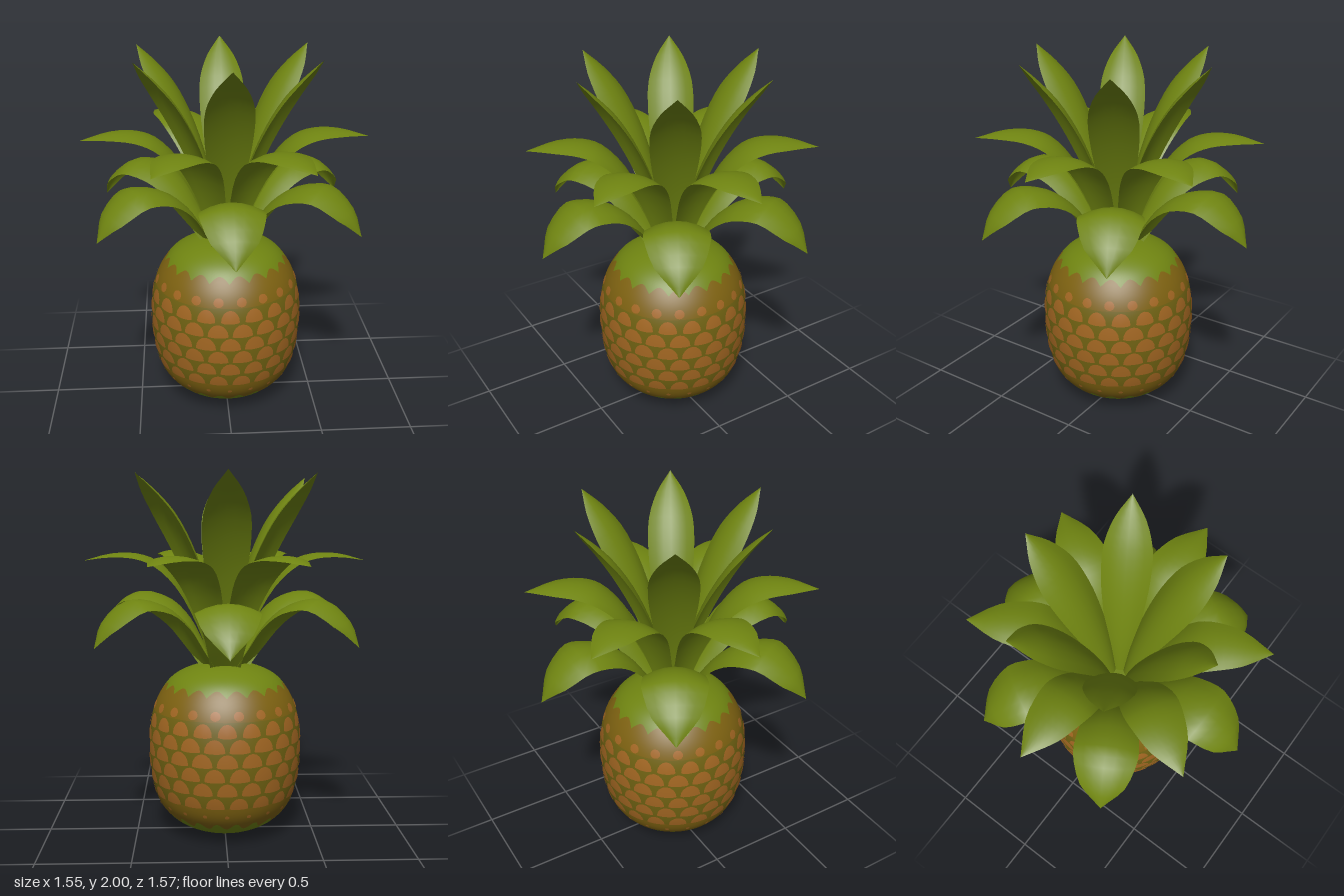
import * as THREE from 'three';
import { mergeGeometries } from 'three/addons/utils/BufferGeometryUtils.js';

const flat = (name, color, side = THREE.FrontSide) => {
  const m = new THREE.MeshStandardMaterial({ color, side });
  m.name = name;
  return m;
};

// Fruit outline from bottom to top: radius, height
const outline = new THREE.SplineCurve([
  [0, 0.005], [0.14, 0.024], [0.27, 0.08], [0.36, 0.17], [0.402, 0.28], [0.42, 0.4], [0.425, 0.5],
  [0.42, 0.61], [0.4, 0.72], [0.355, 0.82], [0.28, 0.905], [0.15, 0.96], [0, 0.972],
].map(([r, y]) => new THREE.Vector2(r, y))).getPoints(144);
const last = outline.length - 1;

// Point on the outline at a fractional index, and the index at a height
function outlineAt(t) {
  const i = Math.min(Math.max(Math.floor(t), 0), last - 1);
  return outline[i].clone().lerp(outline[i + 1], t - i);
}
function indexAt(y) {
  const i = Math.max(outline.findIndex((p) => p.y >= y), 1);
  return i - 1 + (y - outline[i - 1].y) / (outline[i].y - outline[i - 1].y);
}

// Wraps a flat geometry round the fruit; rule(x, y) gives [angle, outline index]
function wrap(geometry, rule, lift = 0) {
  const pos = geometry.attributes.position, nor = geometry.attributes.normal;
  for (let i = 0; i < pos.count; i++) {
    const [a, t] = rule(pos.getX(i), pos.getY(i));
    const p = outlineAt(t);
    const d = outlineAt(Math.min(t + 4, last)).sub(outlineAt(Math.max(t - 4, 0))).normalize();
    const r = p.x + d.y * lift, y = p.y - d.x * lift;
    pos.setXYZ(i, r * Math.sin(a), y, r * Math.cos(a));
    nor.setXYZ(i, d.y * Math.sin(a), -d.x, d.y * Math.cos(a));
  }
  return geometry;
}

// Ring of skin between two edges, each a height as a function of angle
function band(low, high, rows) {
  return wrap(new THREE.PlaneGeometry(1, 1, 160, rows), (x, y) => {
    const a = x * Math.PI * 2;
    return [a, THREE.MathUtils.lerp(indexAt(low(a)), indexAt(high(a)), y + 0.5)];
  });
}

// Domed scale with a flattened lower edge
function scale(angle, y0, w, h, below) {
  return wrap(new THREE.CircleGeometry(1, 16), (x, y) => {
    const t = indexAt(y0 + y * (y > 0 ? h : below));
    return [angle + (x * w) / outlineAt(t).x, t];
  }, 0.004);
}

// Leaf from stations [distance out, height, half width]; the edges fold below the midrib
function leaf(stations, fold) {
  const n = stations.length - 1, along = n * 3;
  const path = new THREE.CatmullRomCurve3(stations.map((s) => new THREE.Vector3(...s)));
  const g = new THREE.PlaneGeometry(2, 1, 6, along);
  const pos = g.attributes.position;
  for (let i = 0; i < pos.count; i++) {
    const t = pos.getY(i) + 0.5, u = pos.getX(i);
    const p = path.getPoint(t);
    const d = path.getTangent(t).setZ(0).normalize();
    const w = Math.max(p.z, 0);
    const drop = fold * u * u * w;
    pos.setXYZ(i, u * w, p.y - d.x * drop, p.x + d.y * drop);
  }
  g.computeVertexNormals();
  return g;
}

export function createModel() {
  const model = new THREE.Group();
  model.name = 'pineapple';
  const green = flat('leafGreen', 0x6f8411, THREE.DoubleSide);
  const brown = flat('skinBrown', 0x7e6211);
  const olive = flat('skinOlive', 0x706212);
  const orange = flat('scaleOrange', 0xa36722);
  const add = (parent, name, geometry, material) => {
    const mesh = new THREE.Mesh(geometry, material);
    mesh.name = name;
    parent.add(mesh);
    return mesh;
  };

  // Fruit skin, in coloured rings with scalloped green ends
  const fruit = new THREE.Group();
  fruit.name = 'fruit';
  model.add(fruit);
  const bottom = () => outline[0].y, top = () => outline[last].y;
  const lowEdge = (a) => 0.105 + 0.04 * Math.sin(a * 10) ** 2;
  const highEdge = (a) => 0.835 + 0.035 * Math.abs(Math.sin(a * 10));
  add(fruit, 'greenBase', band(bottom, lowEdge, 16), green);
  add(fruit, 'lowerSkin', band(lowEdge, () => 0.25, 6), brown);
  add(fruit, 'middleSkin', band(() => 0.25, () => 0.72, 16), olive);
  add(fruit, 'upperSkin', band(() => 0.72, highEdge, 6), brown);
  add(fruit, 'greenCrownCap', band(highEdge, top, 16), green);

  // Staggered rows of scales: height, half width, height above, height below
  const rows = [
    [0.2, 0.012, 0.01, 0.01], [0.255, 0.05, 0.06, 0.006], [0.332, 0.054, 0.066, 0.008],
    [0.41, 0.055, 0.068, 0.008], [0.488, 0.056, 0.068, 0.008], [0.566, 0.056, 0.068, 0.008],
    [0.648, 0.05, 0.064, 0.01], [0.748, 0.027, 0.026, 0.022],
  ];
  const scales = [];
  rows.forEach(([y, w, h, below], row) => {
    for (let i = 0; i < 20; i++) {
      scales.push(scale(((i + (row % 2) / 2) * Math.PI) / 10, y, w, h, below));
    }
  });
  add(fruit, 'scales', mergeGeometries(scales), orange);

  // Crown: three tiers of six leaves
  const tiers = [
    { name: 'lowerLeaf', turn: 0, fold: 0.28, stations: [
      [0.08, 0.95, 0.08], [0.17, 1.08, 0.1], [0.27, 1.22, 0.13], [0.4, 1.32, 0.155],
      [0.57, 1.35, 0.165], [0.72, 1.24, 0.115], [0.785, 1.11, 0]] },
    { name: 'middleLeaf', turn: Math.PI / 6, fold: 0.2, stations: [
      [0.06, 0.95, 0.05], [0.14, 1.2, 0.08], [0.25, 1.42, 0.12], [0.37, 1.54, 0.14],
      [0.48, 1.58, 0.13], [0.62, 1.58, 0.095], [0.775, 1.54, 0]] },
    { name: 'innerLeaf', turn: 0, fold: 0.3, stations: [
      [0.03, 0.95, 0.03], [0.08, 1.2, 0.07], [0.16, 1.45, 0.105], [0.25, 1.65, 0.125],
      [0.35, 1.81, 0.12], [0.45, 1.92, 0.075], [0.54, 2, 0]] },
  ];
  const crown = new THREE.Group();
  crown.name = 'crown';
  model.add(crown);
  for (const { name, turn, fold, stations } of tiers) {
    const geometry = leaf(stations, fold);
    for (let i = 0; i < 6; i++) {
      add(crown, name, geometry, green).rotation.y = turn + (i * Math.PI) / 3;
    }
  }
  return model;
}
